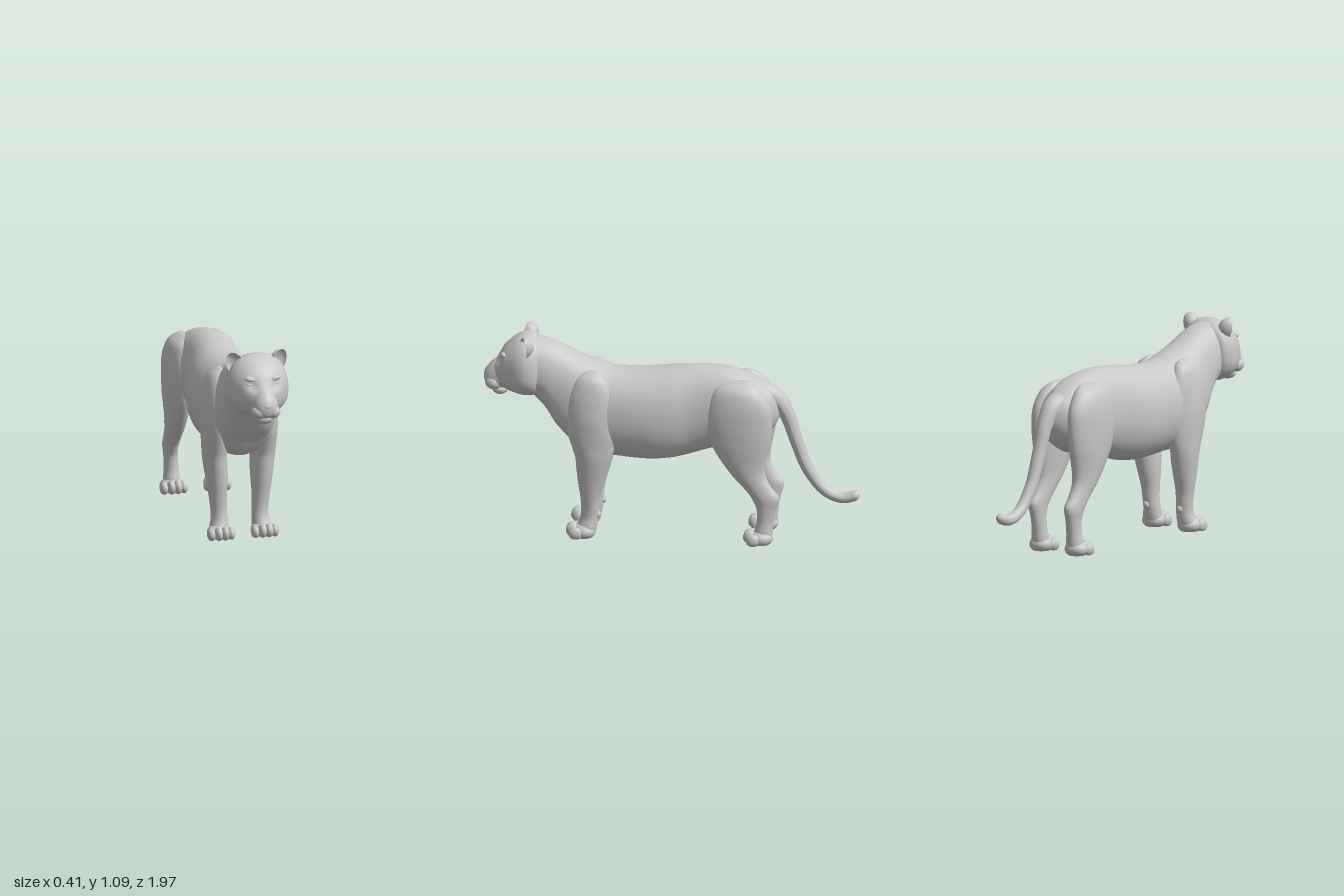
import * as THREE from 'three';

const coat = new THREE.MeshStandardMaterial({ color: 0xc8c8c8 });
coat.name = 'grey coat';

// Smooth value of one column of a section table at position t (0..1)
function sample(rows, t) {
  const s = t * (rows.length - 1), i = Math.min(Math.floor(s), rows.length - 2), f = s - i;
  const at = (k) => rows[Math.max(0, Math.min(rows.length - 1, k))];
  return rows[0].map((_, c) => {
    const [a, b, d, e] = [at(i - 1)[c], at(i)[c], at(i + 1)[c], at(i + 2)[c]];
    const m0 = (d - a) / 2, m1 = (e - b) / 2;
    return b + f * (m0 + f * (3 * (d - b) - 2 * m0 - m1 + f * (2 * (b - d) + m0 + m1)));
  });
}

// Skin over oval sections. Row: [position, x centre, x half width, low, widest, high].
// axis 'z': low/high are y values; axis 'y': low/high are z values.
function loft(rows, axis, side = 1, power = 1, n = 40) {
  const steps = (rows.length - 1) * 5, pos = [], idx = [];
  const put = (t, u, v) => (axis === 'z' ? pos.push(u, v, t) : pos.push(u, t, v));
  const soft = (v) => Math.sign(v) * Math.abs(v) ** power;
  const tri = (a, b, c) => (axis === 'z' ? idx.push(a, b, c) : idx.push(a, c, b));
  for (let i = 0; i <= steps; i++) {
    const [t, cx, half, low, mid, high] = sample(rows, i / steps);
    for (let j = 0; j < n; j++) {
      const a = (j / n) * Math.PI * 2, s = soft(Math.sin(a));
      put(t, side * cx + half * soft(Math.cos(a)), mid + s * (s > 0 ? high - mid : mid - low));
    }
  }
  for (let i = 0; i < steps; i++) {
    for (let j = 0; j < n; j++) {
      const a = i * n + j, b = i * n + ((j + 1) % n);
      tri(a, b, a + n);
      tri(b, b + n, a + n);
    }
  }
  // end caps
  for (const end of [0, 1]) {
    const [t, cx, , , mid] = sample(rows, end), c = pos.length / 3, k = end * steps * n;
    put(t, side * cx, mid);
    for (let j = 0; j < n; j++) {
      const a = k + j, b = k + ((j + 1) % n);
      if (end) tri(c, a, b);
      else tri(c, b, a);
    }
  }
  const g = new THREE.BufferGeometry();
  g.setAttribute('position', new THREE.Float32BufferAttribute(pos, 3));
  g.setIndex(idx);
  g.computeVertexNormals();
  return g;
}

// Push the skin out (or in) around a point to model a muscle or a hollow
function bump(g, x, y, z, radius, amount) {
  const p = g.attributes.position, nor = g.attributes.normal;
  const v = new THREE.Vector3(), d = new THREE.Vector3(), c = new THREE.Vector3(x, y, z);
  for (let i = 0; i < p.count; i++) {
    v.fromBufferAttribute(p, i);
    d.fromBufferAttribute(nor, i);
    v.addScaledVector(d, amount * Math.exp(-v.distanceToSquared(c) / (radius * radius)));
    p.setXYZ(i, v.x, v.y, v.z);
  }
  g.computeVertexNormals();
  return g;
}

// Ellipsoid, flattened where it meets the ground
function blob(x, y, z, rx, ry, rz, rotZ = 0) {
  const g = new THREE.SphereGeometry(1, 24, 16).scale(rx, ry, rz).rotateZ(rotZ).translate(x, y, z);
  const p = g.attributes.position;
  for (let i = 0; i < p.count; i++) p.setY(i, Math.max(0, p.getY(i)));
  return g;
}

// Cupped ear: the front half of a ball is folded back into the rear half
function earShape(side) {
  const g = new THREE.SphereGeometry(1, 32, 20), p = g.attributes.position;
  for (let i = 0; i < p.count; i++) if (p.getZ(i) > 0) p.setZ(i, -0.6 * p.getZ(i));
  g.scale(0.047, 0.066, 0.055).rotateX(-0.1).rotateY(side * 0.45).rotateZ(-side * 0.42);
  g.translate(side * 0.118, 1.022, 0.778);
  g.computeVertexNormals();
  return g;
}

// Tapering tail swept along a curve
function tailShape() {
  const path = new THREE.CatmullRomCurve3([[0.79, -0.46], [0.765, -0.53], [0.69, -0.585], [0.53, -0.64],
    [0.38, -0.7], [0.265, -0.79], [0.228, -0.88], [0.252, -0.972]].map(([y, z]) => new THREE.Vector3(0, y, z)));
  const steps = 80, n = 20, g = new THREE.TubeGeometry(path, steps, 1, n), p = g.attributes.position;
  const v = new THREE.Vector3();
  for (let i = 0; i <= steps; i++) {
    const t = i / steps, c = path.getPointAt(t);
    const tip = t > 0.96 ? Math.sqrt(Math.max(0, 1 - ((t - 0.96) / 0.04) ** 2)) : 1;
    const r = (0.028 + 0.01 * (1 - t) + 0.035 * Math.exp(-t * 9)) * tip;
    for (let j = 0; j <= n; j++) {
      const k = i * (n + 1) + j;
      v.fromBufferAttribute(p, k).sub(c).multiplyScalar(r).add(c);
      p.setXYZ(k, v.x, v.y, v.z);
    }
  }
  g.computeVertexNormals();
  return g;
}

const TORSO = [
  [-0.56, 0, 0.02, 0.69, 0.72, 0.755], [-0.53, 0, 0.07, 0.62, 0.71, 0.805], [-0.48, 0, 0.118, 0.57, 0.7, 0.845],
  [-0.4, 0, 0.15, 0.52, 0.7, 0.89], [-0.3, 0, 0.155, 0.5, 0.7, 0.924], [-0.2, 0, 0.147, 0.485, 0.7, 0.936],
  [-0.1, 0, 0.153, 0.452, 0.69, 0.934], [0, 0, 0.175, 0.425, 0.67, 0.926], [0.1, 0, 0.188, 0.413, 0.66, 0.912],
  [0.2, 0, 0.189, 0.415, 0.66, 0.905], [0.32, 0, 0.183, 0.425, 0.66, 0.909], [0.42, 0, 0.178, 0.43, 0.66, 0.94],
  [0.5, 0, 0.17, 0.455, 0.68, 0.972], [0.56, 0, 0.158, 0.525, 0.72, 1.0], [0.62, 0, 0.145, 0.605, 0.78, 1.03],
  [0.68, 0, 0.136, 0.685, 0.85, 1.05], [0.74, 0, 0.128, 0.745, 0.88, 1.06], [0.79, 0, 0.09, 0.78, 0.89, 1.03]];

const SKULL = [
  [0.69, 0, 0.1, 0.79, 0.9, 1.025], [0.71, 0, 0.142, 0.757, 0.89, 1.05], [0.74, 0, 0.161, 0.743, 0.88, 1.068],
  [0.78, 0, 0.167, 0.743, 0.875, 1.072], [0.82, 0, 0.155, 0.75, 0.875, 1.058], [0.86, 0, 0.131, 0.76, 0.88, 1.028],
  [0.895, 0, 0.106, 0.775, 0.885, 0.99], [0.92, 0, 0.08, 0.79, 0.885, 0.948], [0.94, 0, 0.048, 0.81, 0.88, 0.91],
  [0.95, 0, 0.015, 0.85, 0.87, 0.89]];

const MUZZLE = [
  [0.82, 0, 0.08, 0.77, 0.84, 0.96], [0.88, 0, 0.078, 0.768, 0.83, 0.95], [0.92, 0, 0.072, 0.768, 0.82, 0.934],
  [0.95, 0, 0.064, 0.77, 0.815, 0.914], [0.975, 0, 0.052, 0.777, 0.817, 0.887], [0.99, 0, 0.034, 0.792, 0.825, 0.866],
  [0.997, 0, 0.012, 0.818, 0.83, 0.845]];

const FORELEG = [
  [0.91, 0.105, 0.012, 0.39, 0.42, 0.45], [0.87, 0.122, 0.045, 0.345, 0.42, 0.5], [0.78, 0.135, 0.056, 0.31, 0.43, 0.54],
  [0.68, 0.135, 0.063, 0.295, 0.43, 0.553], [0.58, 0.135, 0.065, 0.292, 0.42, 0.545], [0.5, 0.132, 0.065, 0.3, 0.42, 0.522],
  [0.44, 0.13, 0.064, 0.315, 0.41, 0.505], [0.38, 0.125, 0.062, 0.33, 0.41, 0.5], [0.3, 0.12, 0.056, 0.352, 0.42, 0.492],
  [0.22, 0.116, 0.048, 0.375, 0.425, 0.48], [0.15, 0.112, 0.043, 0.382, 0.425, 0.476], [0.1, 0.11, 0.044, 0.387, 0.43, 0.482],
  [0.05, 0.115, 0.05, 0.395, 0.44, 0.5], [0.005, 0.118, 0.045, 0.41, 0.45, 0.49]].reverse();

const HINDLEG = [
  [0.885, 0.09, 0.015, -0.4, -0.35, -0.29], [0.845, 0.108, 0.056, -0.46, -0.35, -0.225], [0.76, 0.118, 0.071, -0.515, -0.36, -0.19],
  [0.66, 0.121, 0.072, -0.525, -0.36, -0.18], [0.56, 0.122, 0.067, -0.515, -0.37, -0.2], [0.5, 0.121, 0.063, -0.503, -0.37, -0.227],
  [0.43, 0.12, 0.056, -0.49, -0.38, -0.272], [0.37, 0.12, 0.05, -0.492, -0.4, -0.317], [0.31, 0.12, 0.044, -0.522, -0.44, -0.372],
  [0.265, 0.12, 0.041, -0.557, -0.47, -0.408], [0.235, 0.12, 0.039, -0.558, -0.49, -0.425], [0.19, 0.118, 0.037, -0.545, -0.49, -0.443],
  [0.12, 0.116, 0.038, -0.531, -0.487, -0.443], [0.06, 0.116, 0.045, -0.527, -0.48, -0.43], [0.005, 0.118, 0.045, -0.515, -0.48, -0.44]].reverse();

export function createModel() {
  const model = new THREE.Group();
  model.name = 'bigCat';
  const head = new THREE.Group();
  head.name = 'head';
  model.add(head);
  const add = (name, geometry, parent = model) => {
    const mesh = new THREE.Mesh(geometry, coat);
    mesh.name = name;
    parent.add(mesh);
  };

  // body, with hollow flanks and a shallow groove down the chest
  const torso = loft(TORSO, 'z', 1, 0.95, 56);
  bump(torso, 0, 0.55, 0.58, 0.06, -0.012);
  for (const s of [1, -1]) bump(torso, s * 0.1, 0.63, 0.58, 0.07, 0.012);
  add('torsoAndNeck', torso);
  add('tail', tailShape());

  // head with sunken eye sockets
  const skull = loft(SKULL, 'z', 1, 0.88, 64);
  for (const s of [1, -1]) bump(skull, s * 0.062, 0.935, 0.915, 0.03, -0.012);
  add('skull', skull, head);
  add('muzzle', loft(MUZZLE, 'z'), head);
  add('chin', blob(0, 0.762, 0.913, 0.052, 0.032, 0.043), head);
  add('nose', blob(0, 0.84, 0.982, 0.031, 0.02, 0.017), head);

  for (const s of [1, -1]) {
    const label = s > 0 ? 'left' : 'right';
    add(label + 'Ear', earShape(s), head);
    add(label + 'MuzzlePad', blob(s * 0.036, 0.803, 0.943, 0.042, 0.037, 0.045), head);
    add(label + 'Brow', blob(s * 0.06, 0.965, 0.885, 0.04, 0.016, 0.02, s * 0.2), head);
    add(label + 'Eye', blob(s * 0.07, 0.938, 0.884, 0.024, 0.011, 0.018, s * 0.2), head);

    // legs
    const fore = loft(FORELEG, 'y', s);
    bump(fore, s * 0.2, 0.66, 0.4, 0.08, 0.006);
    add(label + 'Foreleg', fore);
    add(label + 'WristPad', blob(s * 0.112, 0.122, 0.388, 0.018, 0.02, 0.016));
    add(label + 'HindLeg', loft(HINDLEG, 'y', s));

    // paws, each with four toes
    for (const [name, z] of [['FrontPaw', 0.46], ['HindPaw', -0.468]]) {
      const paw = new THREE.Group();
      paw.name = label + name;
      model.add(paw);
      add('pawBase', blob(s * 0.118, 0.032, z, 0.064, 0.045, 0.062), paw);
      for (const k of [-1.5, -0.5, 0.5, 1.5]) {
        const outer = Math.abs(k) > 1;
        add('toe', blob(s * 0.118 + k * 0.035, outer ? 0.03 : 0.037, z + (outer ? 0.04 : 0.058),
          0.022, outer ? 0.034 : 0.037, 0.036), paw);
      }
    }
  }
  return model;
}
